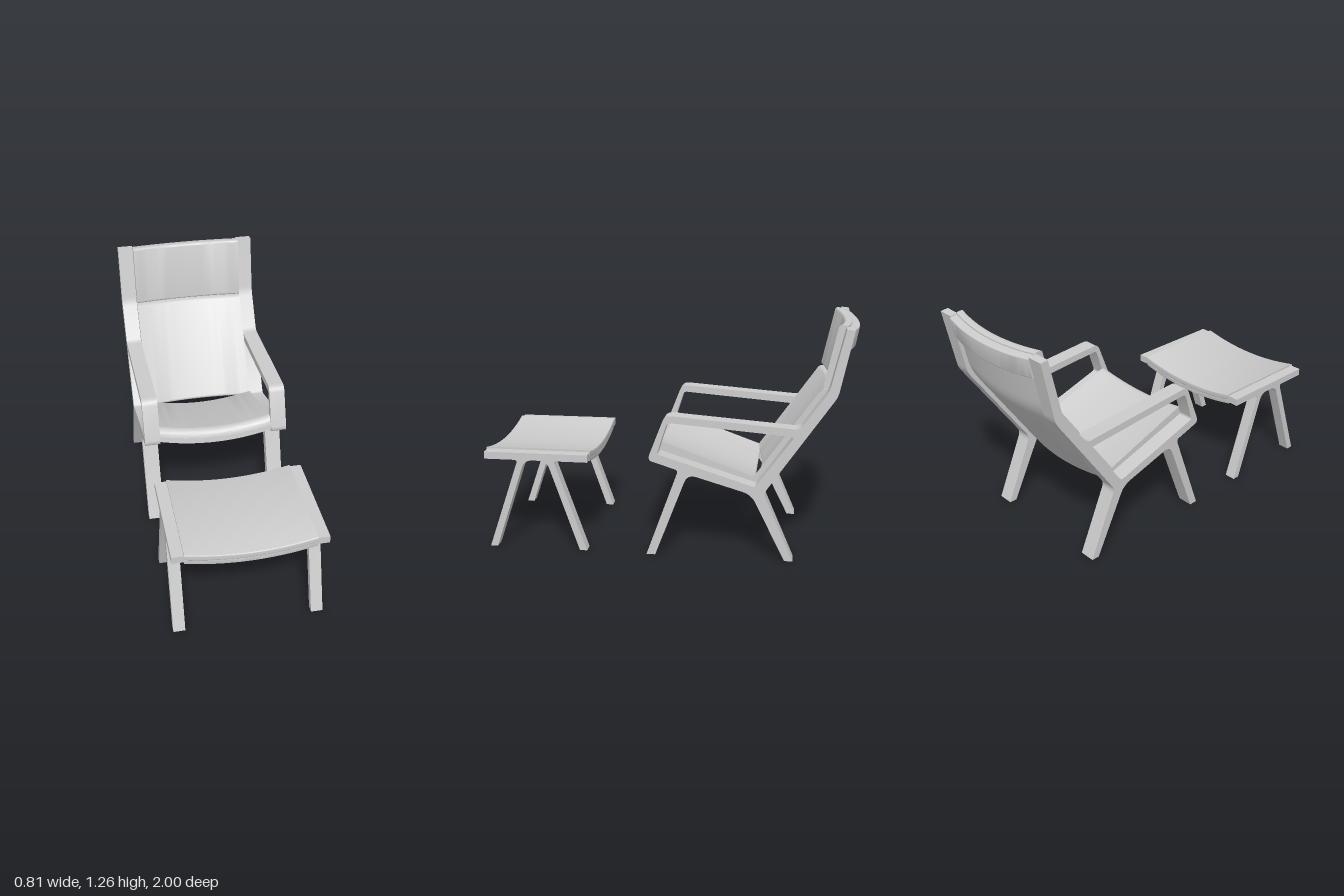
import * as THREE from 'three';
import { toCreasedNormals } from 'three/addons/utils/BufferGeometryUtils.js';

const material = new THREE.MeshStandardMaterial({ color: 0xcccccc });

// Traces a closed side outline of [z, y, cornerRadius] points with rounded corners.
function trace(path, pts) {
  const n = pts.length;
  pts.forEach(([z, y, r = 0], i) => {
    const p = new THREE.Vector2(z, y);
    const toward = (q) => {
      const d = new THREE.Vector2(q[0], q[1]).sub(p);
      return d.setLength(Math.min(r, d.length() * 0.45)).add(p);
    };
    const a = toward(pts[(i + n - 1) % n]);
    const b = toward(pts[(i + 1) % n]);
    if (i === 0) path.moveTo(a.x, a.y);
    else path.lineTo(a.x, a.y);
    if (r > 0) path.quadraticCurveTo(z, y, b.x, b.y);
  });
  path.closePath();
  return path;
}

// Extrudes a side outline from x0 to x1; sag = [dz, dy] bows the middle.
function part(name, pts, x0, x1, { hole, sag, crease = 0.5 } = {}) {
  const shape = trace(new THREE.Shape(), pts);
  if (hole) shape.holes.push(trace(new THREE.Path(), hole));
  let geo = new THREE.ExtrudeGeometry(shape, {
    depth: x1 - x0, steps: sag ? 24 : 1, bevelEnabled: false, curveSegments: 6,
  });
  geo.rotateY(-Math.PI / 2).translate(x1, 0, 0);
  if (sag) {
    const p = geo.attributes.position;
    const mid = (x0 + x1) / 2, half = (x1 - x0) / 2;
    for (let i = 0; i < p.count; i++) {
      const k = 1 - ((p.getX(i) - mid) / half) ** 2;
      p.setZ(i, p.getZ(i) + sag[0] * k);
      p.setY(i, p.getY(i) + sag[1] * k);
    }
  }
  geo = toCreasedNormals(geo, crease);
  const mesh = new THREE.Mesh(geo, material);
  mesh.name = name;
  return mesh;
}

function createChair() {
  const chair = new THREE.Group();
  chair.name = 'armchair';

  // Side frames: legs, seat rail, armrest and back post in one loop
  const frame = [
    [0.105, 0], [0.057, 0], [-0.118, 0.465, 0.05], [-0.457, 0.367, 0.05],
    [-0.64, 0], [-0.684, 0], [-0.522, 0.375, 0.03], [-0.887, 0.91, 0.03],
    [-0.957, 1.25], [-0.915, 1.255], [-0.842, 0.935, 0.03], [-0.7, 0.73, 0.03],
    [0.003, 0.782, 0.035], [0.09, 0.555, 0.015], [0.086, 0.532, 0.01], [-0.068, 0.484, 0.02],
  ];
  const opening = [
    [-0.01, 0.743, 0.02], [-0.675, 0.69, 0.02], [-0.475, 0.408, 0.015], [0.045, 0.57, 0.015],
  ];
  chair.add(part('leftSideFrame', frame, 0.318, 0.405, { hole: opening }));
  chair.add(part('rightSideFrame', frame, -0.405, -0.318, { hole: opening }));

  // Upholstery and cross bars, hung between the frames
  const w = 0.318;
  const seatSag = [0.01, -0.036];
  const backSag = [-0.038, -0.012];
  const hung = [
    ['seatCushion', [
      [0.035, 0.617, 0.02], [0.066, 0.6, 0.02], [0.083, 0.55, 0.015], [0.07, 0.535, 0.01],
      [0.045, 0.56, 0.02], [-0.465, 0.387, 0.01], [-0.482, 0.432, 0.015],
    ], seatSag],
    ['backCushion', [
      [-0.45, 0.42, 0.015], [-0.803, 0.928, 0.022], [-0.85, 0.925], [-0.49, 0.4],
    ], backSag],
    ['headrest', [
      [-0.808, 0.932, 0.018], [-0.88, 1.265, 0.015], [-0.922, 1.26, 0.01], [-0.85, 0.932],
    ], backSag],
    ['backShell', [
      [-0.475, 0.41], [-0.835, 0.935], [-0.905, 1.25], [-0.935, 1.245],
      [-0.866, 0.922, 0.06], [-0.5, 0.385, 0.01],
    ], backSag],
    ['topCrossBar', [
      [-0.91, 1.252], [-0.962, 1.243, 0.008], [-0.943, 1.135, 0.008], [-0.89, 1.143],
    ], backSag],
    ['frontCrossBar', [
      [0.08, 0.575], [-0.02, 0.54], [-0.008, 0.518], [0.085, 0.548],
    ], seatSag],
    ['rearCrossBar', [
      [-0.36, 0.425], [-0.445, 0.397], [-0.433, 0.362], [-0.35, 0.388],
    ], [0.01, -0.032]],
  ];
  for (const [name, pts, sag] of hung) chair.add(part(name, pts, -w, w, { sag }));
  return chair;
}

function createFootstool() {
  const stool = new THREE.Group();
  stool.name = 'footstool';
  const zc = 0.709;

  // Side frames: top rail with two splayed legs, mirrored about the middle
  const half = [
    [0.285, 0.545], [0.285, 0.505], [0.1, 0.505, 0.02], [0.273, 0], [0.233, 0], [0.062, 0.505, 0.045],
  ];
  const frame = [
    ...half.map(([z, y, r]) => [zc + z, y, r]),
    ...half.slice().reverse().map(([z, y, r]) => [zc - z, y, r]),
  ];
  stool.add(part('leftStoolFrame', frame, 0.337, 0.4));
  stool.add(part('rightStoolFrame', frame, -0.4, -0.337));

  // Sagging seat panel with a cross bar below each end
  const box = (z0, z1, y0, y1, r) => [[z0, y0, r], [z0, y1, r], [z1, y1, r], [z1, y0, r]];
  const sag = [0, -0.04];
  stool.add(part('stoolPanel', box(0.42, 1, 0.522, 0.555, 0.008), -0.337, 0.337, { sag }));
  stool.add(part('frontStoolBar', box(0.938, 0.997, 0.495, 0.53, 0.004), -0.337, 0.337, { sag }));
  stool.add(part('rearStoolBar', box(0.424, 0.485, 0.495, 0.53, 0.004), -0.337, 0.337, { sag }));
  return stool;
}

export function createModel() {
  const model = new THREE.Group();
  model.name = 'loungeChairWithFootstool';
  model.add(createChair(), createFootstool());
  return model;
}
